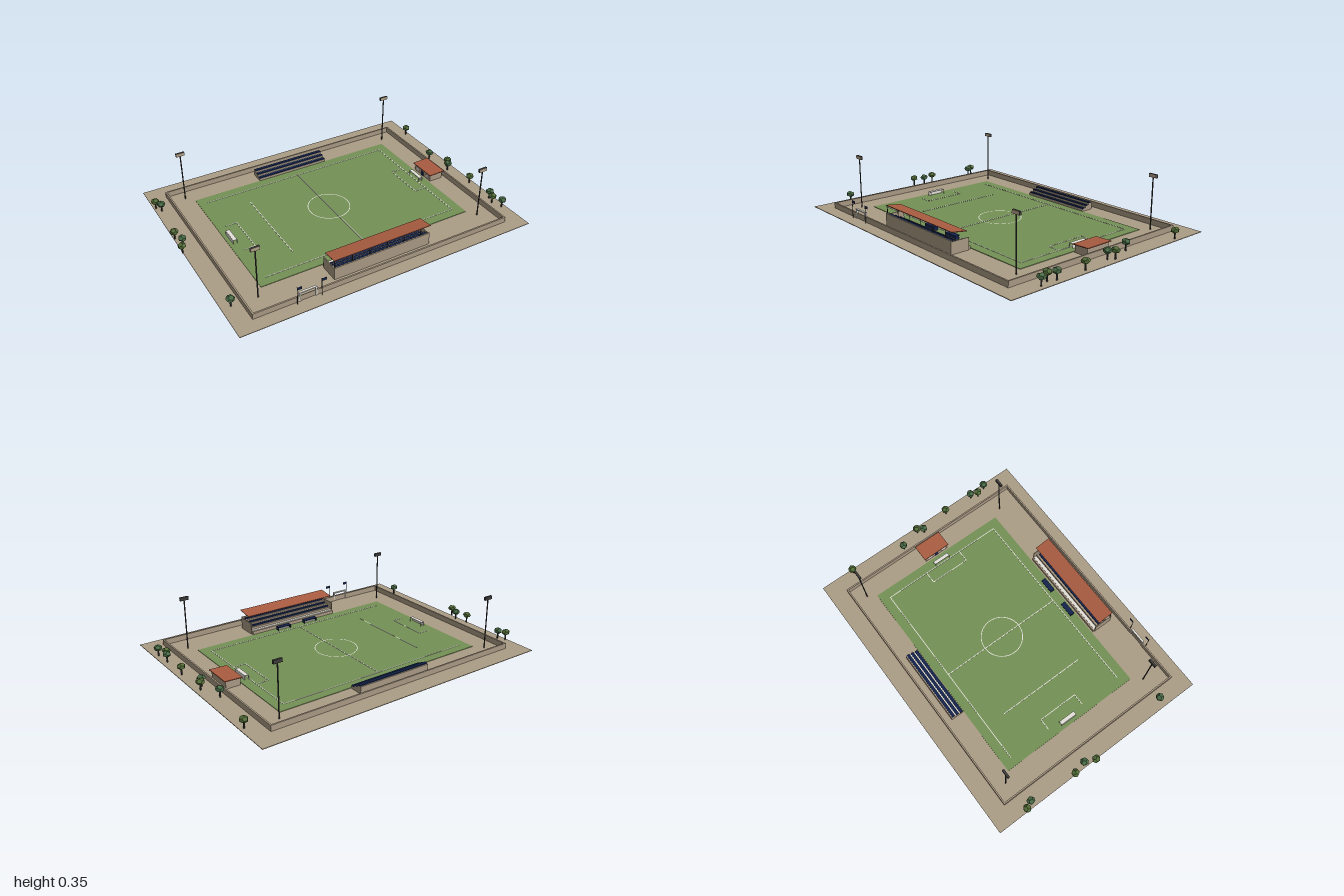
import * as THREE from 'three';

const mat = (name, color, extra = {}) => Object.assign(new THREE.MeshStandardMaterial({ color, ...extra }), { name });

export function createModel() {
  const sand = mat('sand', 0xac9d87);
  const wall = mat('wall', 0xa89883);
  const grass = mat('grass', 0x739054);
  const white = mat('white', 0xe2e0d8);
  const terracotta = mat('terracotta', 0xa95c41);
  const navy = mat('navy', 0x14244f);
  const dark = mat('dark metal', 0x3b3a38);
  const leafA = mat('olive leaf', 0x526c38);
  const leafB = mat('green leaf', 0x486a45);
  const lamp = mat('lamp', 0xb5a58c);

  const root = new THREE.Group();
  root.name = 'footballGround';
  const group = (name) => {
    const g = new THREE.Group();
    g.name = name;
    root.add(g);
    return g;
  };
  // Box given by its min and max along each axis
  const box = (parent, name, m, x0, x1, y0, y1, z0, z1) => {
    const mesh = new THREE.Mesh(new THREE.BoxGeometry(x1 - x0, y1 - y0, z1 - z0), m);
    mesh.position.set((x0 + x1) / 2, (y0 + y1) / 2, (z0 + z1) / 2);
    mesh.name = name;
    parent.add(mesh);
    return mesh;
  };
  const post = (parent, name, m, x, z, y0, y1, r) => {
    const mesh = new THREE.Mesh(new THREE.CylinderGeometry(r, r, y1 - y0, 6), m);
    mesh.position.set(x, (y0 + y1) / 2, z);
    mesh.name = name;
    parent.add(mesh);
  };

  // Ground and pitch
  box(root, 'ground', sand, -0.97, 1.0, 0, 0.004, -0.767, 0.76);
  box(root, 'pitch', grass, -0.705, 0.738, 0.004, 0.007, -0.508, 0.465);

  // Pitch markings
  const marks = group('markings');
  const w = 0.0025;
  const lineX = (z, x0, x1) => box(marks, 'line', white, x0, x1, 0.007, 0.0085, z - w, z + w);
  const lineZ = (x, z0, z1) => box(marks, 'line', white, x - w, x + w, 0.007, 0.0085, z0, z1);
  lineX(-0.446, -0.648, 0.677);
  lineX(0.402, -0.648, 0.677);
  lineZ(0.675, -0.446, 0.402);
  lineZ(0.013, -0.446, 0.402);
  lineZ(-0.405, -0.315, 0.278);
  lineZ(-0.573, -0.153, 0.115);
  lineZ(0.594, -0.153, 0.115);
  for (const z of [-0.153, 0.115]) {
    lineX(z, -0.648, -0.573);
    lineX(z, 0.594, 0.675);
  }
  const circle = new THREE.Mesh(new THREE.RingGeometry(0.132, 0.137, 48), white);
  circle.name = 'centreCircle';
  circle.rotation.x = -Math.PI / 2;
  circle.position.set(0.013, 0.0085, -0.02);
  marks.add(circle);

  // Goals: two posts, a bar, a top and a back net
  for (const [front, back] of [[-0.655, -0.68], [0.68, 0.705]]) {
    const goal = group('goal');
    const x0 = Math.min(front, back), x1 = Math.max(front, back);
    for (const z of [-0.073, 0.036]) post(goal, 'goalPost', white, front, z, 0.007, 0.036, 0.002);
    box(goal, 'goalTop', white, x0, x1, 0.033, 0.036, -0.075, 0.038);
    box(goal, 'goalNet', white, back - 0.001, back + 0.001, 0.007, 0.034, -0.075, 0.038);
  }

  // Boundary wall, open at the gate
  const fence = group('boundaryWall');
  box(fence, 'backWall', wall, -0.855, 0.88, 0.004, 0.04, -0.65, -0.64);
  box(fence, 'frontWall', wall, -0.855, -0.57, 0.004, 0.04, 0.663, 0.673);
  box(fence, 'frontWall', wall, -0.465, 0.88, 0.004, 0.04, 0.663, 0.673);
  box(fence, 'rightWall', wall, -0.855, -0.845, 0.004, 0.04, -0.64, 0.663);
  box(fence, 'leftWall', wall, 0.87, 0.88, 0.004, 0.04, -0.64, 0.663);

  // Gate with flags
  const gate = group('gate');
  for (const x of [-0.57, -0.467]) box(gate, 'gatePost', white, x - 0.004, x + 0.004, 0.004, 0.066, 0.664, 0.676);
  box(gate, 'gateBeam', white, -0.574, -0.463, 0.06, 0.067, 0.663, 0.677);
  box(gate, 'gateLeaf', wall, -0.566, -0.471, 0.004, 0.04, 0.667, 0.671);
  for (const x of [-0.593, -0.44]) {
    post(gate, 'flagPole', dark, x, 0.688, 0.004, 0.122, 0.002);
    box(gate, 'flag', navy, x, x + 0.03, 0.103, 0.12, 0.687, 0.689);
  }

  // Main stand: steps rising away from the pitch, seat rows, roof on columns
  const stand = group('mainStand');
  for (let i = 0; i < 4; i++) {
    const z = 0.474 + i * 0.033, y = 0.025 + i * 0.016;
    box(stand, 'step', wall, -0.314, 0.331, 0.004, y, z, 0.608);
    if (i) box(stand, 'seatRow', navy, -0.305, 0.322, y, y + 0.009, z + 0.014, z + 0.028);
  }
  box(stand, 'kerb', white, -0.312, 0.33, 0.025, 0.028, 0.484, 0.503);
  box(stand, 'backWall', wall, -0.318, 0.337, 0.004, 0.086, 0.607, 0.615);
  for (const x of [-0.318, 0.331]) box(stand, 'sideWall', wall, x, x + 0.006, 0.004, 0.08, 0.487, 0.61);
  for (let i = 0; i < 6; i++) post(stand, 'column', dark, -0.314 + i * 0.118, 0.606, 0.08, 0.134, 0.0025);
  const roof = box(stand, 'roof', terracotta, -0.318, 0.343, 0.1275, 0.1315, 0.507, 0.613);
  roof.rotation.x = -0.14;

  // Dugouts beside the pitch
  for (const x of [-0.142, 0.068]) {
    const dugout = group('dugout');
    box(dugout, 'dugoutRoof', navy, x, x + 0.097, 0.027, 0.031, 0.42, 0.452);
    box(dugout, 'dugoutBack', navy, x, x + 0.097, 0.007, 0.027, 0.448, 0.452);
    for (const s of [x, x + 0.094]) box(dugout, 'dugoutSide', navy, s, s + 0.003, 0.007, 0.027, 0.425, 0.448);
    box(dugout, 'bench', white, x + 0.006, x + 0.091, 0.007, 0.014, 0.437, 0.447);
  }

  // Small open stand on the far side
  const terrace = group('backStand');
  for (let i = 0; i < 3; i++) {
    const z = -0.512 - i * 0.029, y = 0.02 + i * 0.014;
    box(terrace, 'step', wall, -0.24, 0.262, 0.004, y, -0.598, z);
    box(terrace, 'seatRow', navy, -0.24, 0.262, y, y + 0.007, z - 0.02, z - 0.002);
    if (i < 2) box(terrace, 'walkway', white, -0.24, 0.262, y, y + 0.002, z - 0.029, z - 0.021);
  }

  // Clubhouse
  const house = group('clubhouse');
  box(house, 'houseWalls', wall, 0.75, 0.845, 0.004, 0.053, -0.105, 0.066);
  const houseRoof = box(house, 'houseRoof', terracotta, 0.741, 0.856, 0.053, 0.058, -0.116, 0.075);
  houseRoof.rotation.z = 0.04;
  box(house, 'door', navy, 0.747, 0.75, 0.004, 0.036, -0.032, -0.008);
  for (const z of [-0.085, 0.022]) box(house, 'window', white, 0.747, 0.75, 0.02, 0.038, z, z + 0.026);

  // Floodlights
  for (const x of [-0.753, 0.776]) for (const z of [-0.563, 0.528]) {
    const light = group('floodlight');
    post(light, 'mast', dark, x, z, 0.004, 0.335, 0.004);
    box(light, 'lampHousing', dark, x - 0.028, x + 0.028, 0.331, 0.353, z - 0.007, z + 0.006);
    box(light, 'lampFace', lamp, x - 0.027, x + 0.027, 0.332, 0.352, z + 0.006, z + 0.008);
  }

  // Trees
  const crown = new THREE.DodecahedronGeometry(0.027);
  const spots = [
    [-0.955, -0.555], [-0.932, -0.51], [-0.963, -0.195], [-0.943, -0.11], [-0.972, -0.042], [-0.912, 0.52],
    [0.974, -0.54], [0.916, -0.17], [0.965, -0.028], [0.94, 0.01], [0.968, 0.212], [0.965, 0.42],
    [0.946, 0.47], [0.971, 0.535],
  ];
  spots.forEach(([x, z], i) => {
    const tree = group('tree');
    post(tree, 'trunk', dark, x, z, 0.004, 0.045, 0.005);
    const leaves = new THREE.Mesh(crown, i % 2 ? leafB : leafA);
    leaves.name = 'crown';
    leaves.position.set(x, 0.058, z);
    leaves.rotation.y = i * 1.3;
    leaves.scale.set(1, 0.75, 1);
    tree.add(leaves);
  });
  leafA.flatShading = leafB.flatShading = true;

  return root;
}
